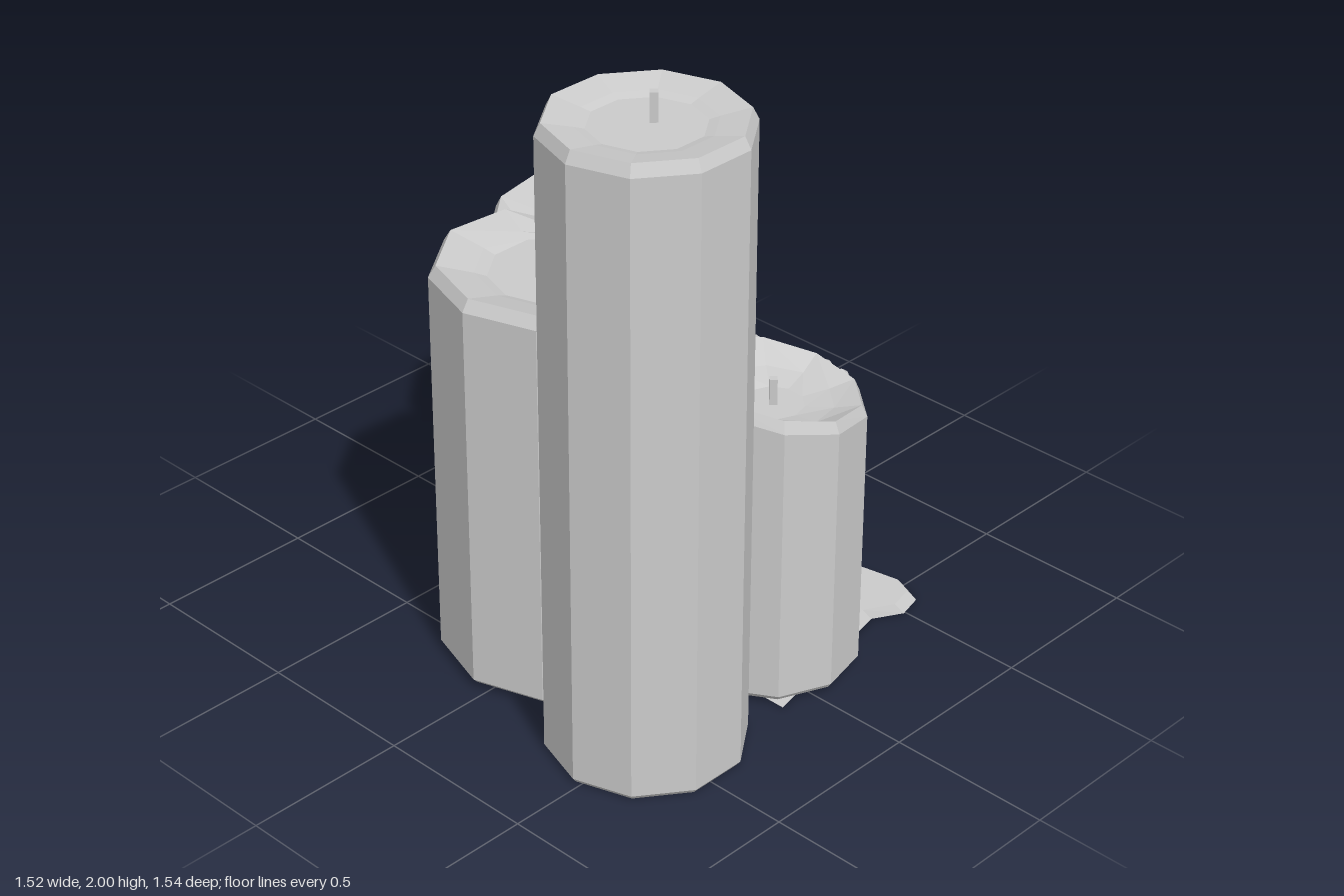
import * as THREE from 'three';

const wax = new THREE.MeshStandardMaterial({ color: 0xcccccc, flatShading: true, side: THREE.DoubleSide });
const SIDES = 10;
const rad = THREE.MathUtils.degToRad;

function addMesh(parent, name, geometry) {
  const m = new THREE.Mesh(geometry, wax);
  m.name = name;
  parent.add(m);
  return m;
}

// Ten-sided body: a lathe whose upper rings follow the uneven rim height
function bodyGeometry({ r, turn, foot, rim, basin, basinR }) {
  const rings = [
    [0, () => foot],
    [r * 0.96, () => foot],
    [r, () => foot + 0.015],
    [r, h => h - 0.035],
    [r * 0.94, h => h],
    [r * 0.65, h => THREE.MathUtils.lerp(basin, h, 0.3)],
    [basinR, () => basin],
    [0, () => basin],
  ];
  const geo = new THREE.LatheGeometry(rings.map(([x], j) => new THREE.Vector2(x, j)), SIDES, rad(turn));
  const p = geo.attributes.position;
  for (let i = 0; i < p.count; i++) {
    const side = Math.floor(i / rings.length);
    const height = rings[i % rings.length][1];
    p.setY(i, height(rim(turn + side * 360 / SIDES)));
  }
  geo.computeVertexNormals();
  return geo;
}

// Run of wax: thin at the rim, swelling, then tapering to a point
function dripGeometry() {
  const profile = new THREE.SplineCurve([
    new THREE.Vector2(0, 0), new THREE.Vector2(0.55, 0.12), new THREE.Vector2(0.4, 0.4),
    new THREE.Vector2(1, 0.88), new THREE.Vector2(0, 1),
  ]).getPoints(8);
  return new THREE.LatheGeometry(profile, 6);
}

// Candle with a body, a square wick and evenly spaced drips of alternating length
function candle(name, x, z, options) {
  const { r, rim, basin, wickTop, wickShift = 0, drips } = options;
  const g = new THREE.Group();
  g.name = name;
  g.position.set(x, 0, z);
  addMesh(g, 'waxBody', bodyGeometry(options));

  const h = wickTop - basin + 0.02;
  const wick = addMesh(g, 'wick', new THREE.CylinderGeometry(0.016, 0.016, h, 4));
  wick.position.set(0, wickTop - h / 2, wickShift);

  if (drips) {
    for (let i = 0; i < drips.count; i++) {
      const deg = drips.from + i * drips.step;
      const length = drips.length * (i % 2 ? 0.6 : 1);
      const width = i % 2 ? 0.032 : 0.045;
      const drip = addMesh(g, 'waxDrip', dripGeometry());
      drip.scale.set(width, length, width);
      drip.rotation.y = rad(deg);
      drip.position.set(r * 0.965 * Math.sin(rad(deg)), rim(deg) - 0.01 - length, r * 0.965 * Math.cos(rad(deg)));
    }
  }
  return g;
}

// Rim tilted so that it is highest towards the given angle from the front
const tilted = (middle, amount, toward) => deg => middle + amount * Math.cos(rad(deg - toward));

// Spilled wax: lobed outline behind the candles, thinning to nothing at the front edge
function puddleGeometry() {
  const outline = [
    [-0.765, 0.11], [0.66, 0.11], [0.55, -0.4], [0.6, -0.49], [0.58, -0.57], [0.52, -0.595], [0.3, -0.555],
    [0.06, -0.735], [-0.055, -0.775], [-0.17, -0.745], [-0.41, -0.605], [-0.52, -0.61], [-0.64, -0.57], [-0.765, -0.39],
  ];
  const shape = new THREE.Shape(outline.map(([x, z]) => new THREE.Vector2(x, -z)));
  const geo = new THREE.ExtrudeGeometry(shape, { depth: 1, bevelEnabled: false });
  geo.rotateX(-Math.PI / 2);
  const p = geo.attributes.position;
  for (let i = 0; i < p.count; i++) {
    if (p.getY(i) < 0.5) {
      p.setY(i, 0.003);
      continue;
    }
    const rise = THREE.MathUtils.clamp((0.11 - p.getZ(i)) / 0.38, 0, 1);
    p.setXYZ(i, p.getX(i) * (1 - 0.035 * rise), 0.004 + 0.031 * rise, p.getZ(i) + 0.018 * rise);
  }
  geo.computeVertexNormals();
  return geo;
}

export function createModel() {
  const model = new THREE.Group();
  model.name = 'candleCluster';

  model.add(candle('tallCandle', 0.48, 0.48, {
    r: 0.29, turn: 0, foot: 0, rim: () => 1.94, basin: 1.915, basinR: 0.16, wickTop: 2, wickShift: -0.025,
  }));
  // The wide rim is level except for a sag at the back
  model.add(candle('wideCandle', -0.04, 0.295, {
    r: 0.362, turn: 0, foot: 0.015, basin: 1.225, basinR: 0.2, wickTop: 1.32,
    rim: deg => 1.27 - 0.09 * Math.max(0, Math.cos(rad(deg - 208))) ** 6,
    drips: { from: 200, step: 14, count: 2, length: 0.4 },
  }));
  model.add(candle('slopedCandle', -0.425, -0.185, {
    r: 0.297, turn: 0, foot: 0.02, rim: tilted(1.02, 0.085, 237), basin: 0.925, basinR: 0.1,
    wickTop: 1.02, wickShift: -0.025,
    drips: { from: 98, step: -14, count: 2, length: 0.62 },
  }));
  model.add(candle('smallCandle', 0.03, -0.28, {
    r: 0.212, turn: 18, foot: 0.035, rim: tilted(0.73, 0.015, 290), basin: 0.64, basinR: 0.075,
    wickTop: 0.73, wickShift: -0.02,
    drips: { from: 172, step: 20, count: 4, length: 0.6 },
  }));
  model.add(candle('rearCandle', 0.445, -0.06, {
    r: 0.267, turn: 13, foot: 0.02, rim: tilted(0.93, 0.06, 330), basin: 0.85, basinR: 0.09, wickTop: 0.93,
    drips: { from: 174, step: 13, count: 4, length: 0.6 },
  }));

  addMesh(model, 'waxPuddle', puddleGeometry());
  return model;
}
